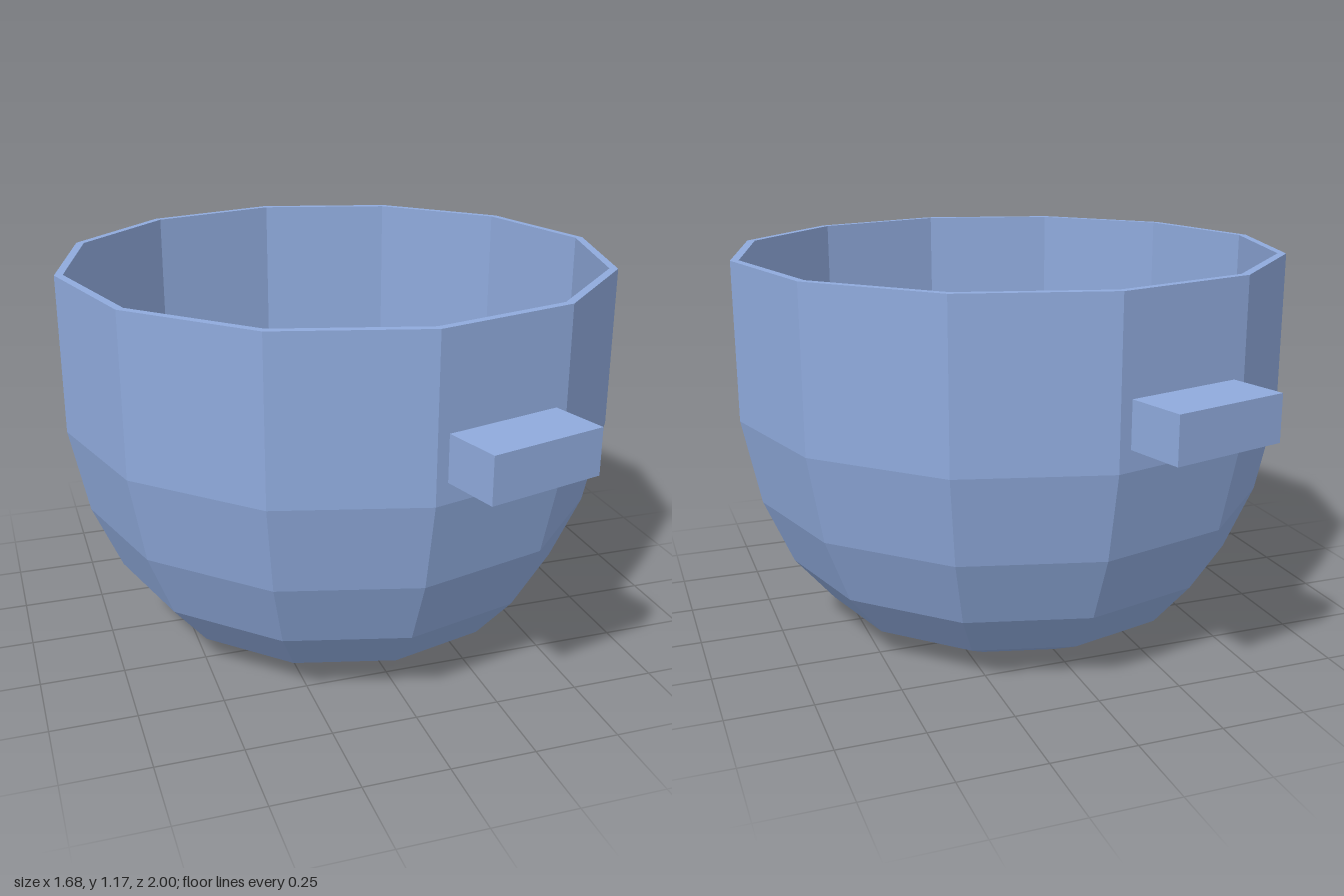
import * as THREE from 'three';

export function createModel() {
  const blue = new THREE.MeshStandardMaterial({ color: 0x8faadc, flatShading: true });
  blue.name = 'pale blue';

  const model = new THREE.Group();
  model.name = 'pot';

  // Twelve-sided thin-walled bowl: up the outside, over the rim, down the inside
  const profile = [
    [0, 0], [0.42, 0.004], [0.58, 0.087], [0.7, 0.23], [0.787, 0.432], [0.84, 0.692], [0.84, 1.168],
    [0.815, 1.168], [0.815, 0.697], [0.763, 0.441], [0.68, 0.246], [0.565, 0.109], [0.41, 0.028], [0, 0.028],
  ].map(([r, y]) => new THREE.Vector2(r, y));
  const bowl = new THREE.Mesh(new THREE.LatheGeometry(profile, 12), blue);
  bowl.name = 'bowl';
  model.add(bowl);

  // Two block handles on opposite facets, sunk slightly into the wall
  const inner = 0.8, outer = 0.987;
  const handleGeometry = new THREE.BoxGeometry(0.36, 0.135, outer - inner);
  handleGeometry.translate(0, 0.82, (inner + outer) / 2);
  ['frontHandle', 'backHandle'].forEach((name, i) => {
    const handle = new THREE.Mesh(handleGeometry, blue);
    handle.name = name;
    handle.rotation.y = Math.PI / 12 + i * Math.PI;
    model.add(handle);
  });

  return model;
}
